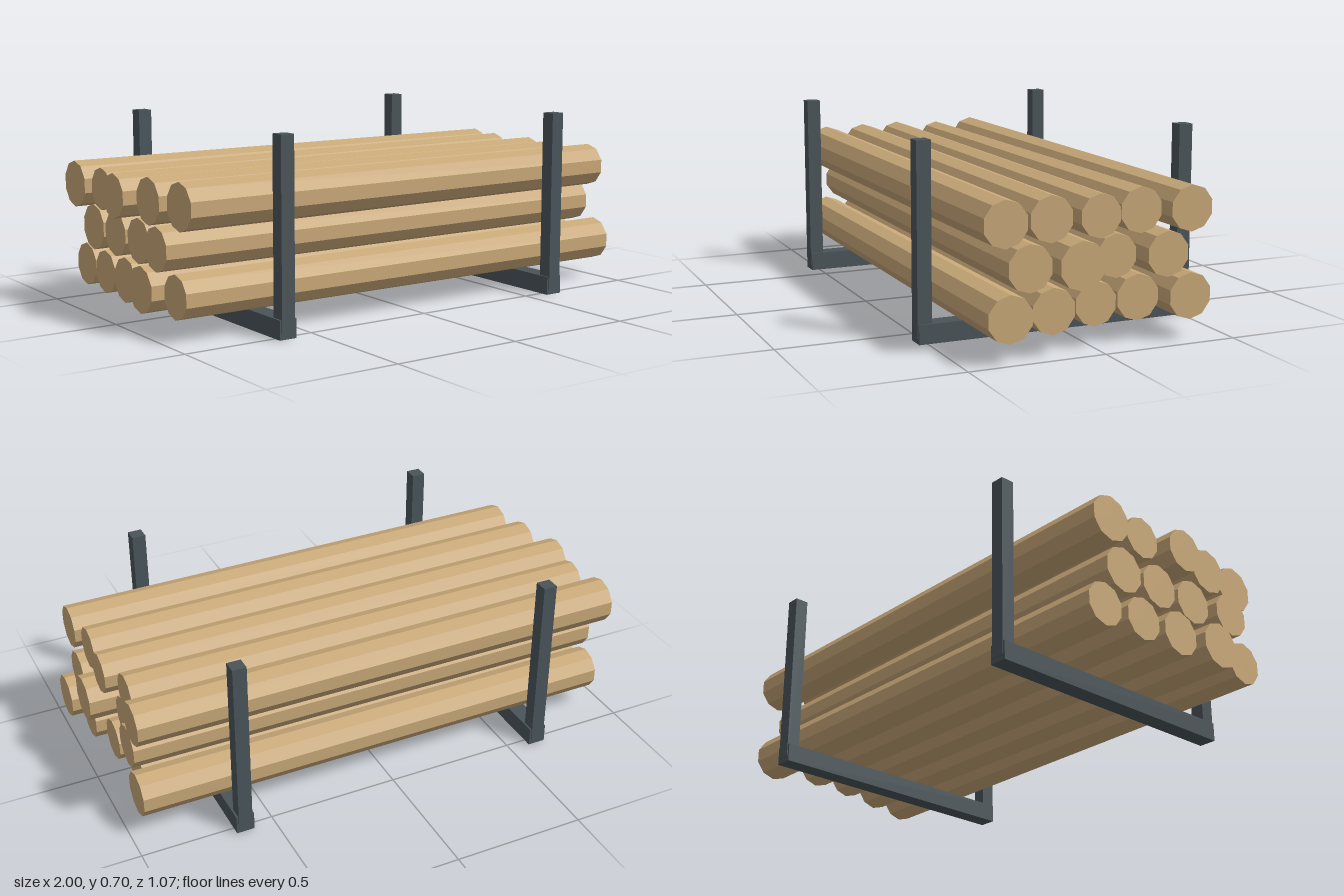
import * as THREE from 'three';

const wood = new THREE.MeshStandardMaterial({ color: 0xc8a878, flatShading: true });
wood.name = 'wood';
const steel = new THREE.MeshStandardMaterial({ color: 0x4a5459, flatShading: true });
steel.name = 'dark steel';

// Each row: height, then logs as [z, left end x, right end x, radius at left, radius at right]
const rows = [
  { y: 0.156, logs: [
    [0.35, -0.95, 1.0, 0.08, 0.083], [0.175, -0.99, 0.96, 0.085, 0.081], [0, -0.96, 0.925, 0.083, 0.079],
    [-0.175, -0.95, 0.9, 0.08, 0.083], [-0.35, -0.94, 0.955, 0.08, 0.083]] },
  { y: 0.31, logs: [
    [0.263, -0.975, 0.965, 0.08, 0.083], [0.088, -0.95, 1.0, 0.083, 0.086],
    [-0.088, -0.95, 0.905, 0.082, 0.078], [-0.263, -0.95, 0.95, 0.085, 0.081]] },
  { y: 0.463, logs: [
    [0.35, -0.93, 0.96, 0.086, 0.082], [0.175, -0.955, 0.94, 0.085, 0.081], [0, -1.0, 0.955, 0.081, 0.077],
    [-0.175, -0.96, 0.915, 0.078, 0.081], [-0.35, -0.98, 0.955, 0.086, 0.082]] },
];

function box(name, w, h, d, x, y, z) {
  const mesh = new THREE.Mesh(new THREE.BoxGeometry(w, h, d), steel);
  mesh.name = name;
  mesh.position.set(x, y, z);
  return mesh;
}

export function createModel() {
  const model = new THREE.Group();
  model.name = 'logRack';

  // Two U-shaped cradles: a ground beam with a stake at each end
  for (const x of [-0.615, 0.615]) {
    const cradle = new THREE.Group();
    cradle.name = 'cradle';
    cradle.add(box('groundBeam', 0.068, 0.07, 1.064, x, 0.035, 0));
    for (const s of [-1, 1]) cradle.add(box('stake', 0.053, 0.685, 0.053, x, 0.3625, s * 0.5085));
    model.add(cradle);
  }

  // Stacked, slightly tapered ten-sided logs lying along x
  const stack = new THREE.Group();
  stack.name = 'logStack';
  for (const { y, logs } of rows) {
    for (const [z, x0, x1, r0, r1] of logs) {
      const geometry = new THREE.CylinderGeometry(r1, r0, x1 - x0, 10);
      geometry.rotateY(Math.PI / 2).rotateZ(-Math.PI / 2);
      const log = new THREE.Mesh(geometry, wood);
      log.name = 'log';
      log.position.set((x0 + x1) / 2, y, z);
      stack.add(log);
    }
  }
  model.add(stack);
  return model;
}
